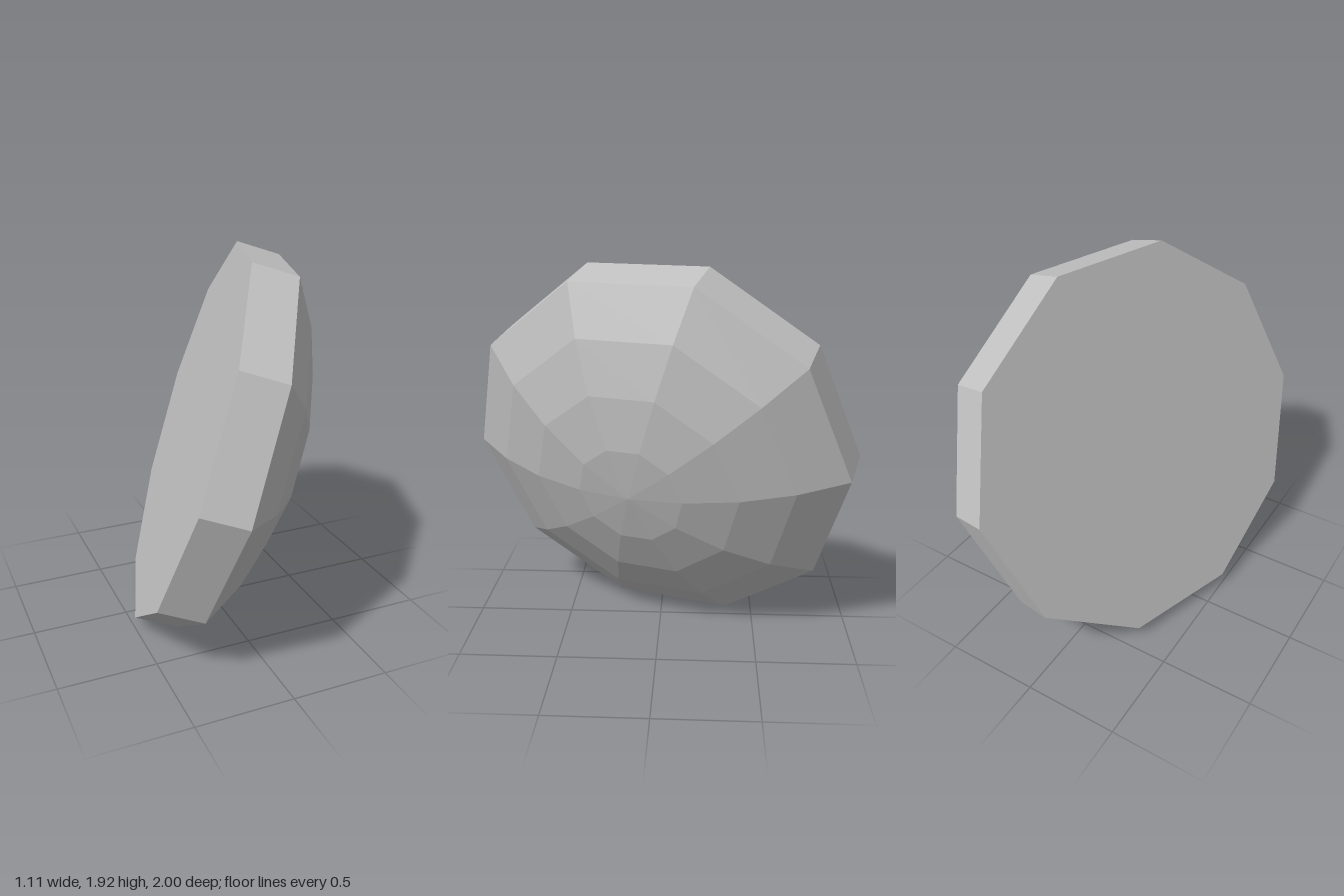
import * as THREE from 'three';

const SIDES = 10;
const RADIUS = 1.018;   // rim radius
const DEPTH = 0.232;    // thickness of the straight band
const RISE = 0.35;      // height of the dome above the rim
const RINGS = 4;

export function createModel() {
  const model = new THREE.Group();
  model.name = 'domedDisc';
  const grey = new THREE.MeshStandardMaterial({ color: 0xc0c0c0, flatShading: true });
  grey.name = 'grey';

  const addLathe = (name, points) => {
    const mesh = new THREE.Mesh(new THREE.LatheGeometry(points, SIDES), grey);
    mesh.name = name;
    model.add(mesh);
  };

  // Flat back and straight side band
  addLathe('base', [
    new THREE.Vector2(0, -DEPTH),
    new THREE.Vector2(RADIUS, -DEPTH),
    new THREE.Vector2(RADIUS, 0),
  ]);

  // Shallow spherical cap, in equal angular steps from rim to apex
  const sphere = (RADIUS ** 2 + RISE ** 2) / (2 * RISE);
  const maxAngle = Math.asin(RADIUS / sphere);
  const cap = [];
  for (let i = RINGS; i >= 0; i--) {
    const a = (maxAngle * i) / RINGS;
    cap.push(new THREE.Vector2(sphere * Math.sin(a), sphere * Math.cos(a) - sphere + RISE));
  }
  addLathe('dome', cap);

  // Lean the disc: its axis points to the left, slightly down and forward
  const axis = new THREE.Vector3(3, -1, 1).normalize();
  const along = new THREE.Vector3(1, 0, -3).normalize();
  const up = new THREE.Vector3().crossVectors(axis, along);
  model.quaternion.setFromRotationMatrix(new THREE.Matrix4().makeBasis(up, axis, along));
  model.position.set(0.085, 0.923, 0.035);

  const root = new THREE.Group();
  root.name = 'model';
  root.add(model);
  return root;
}
